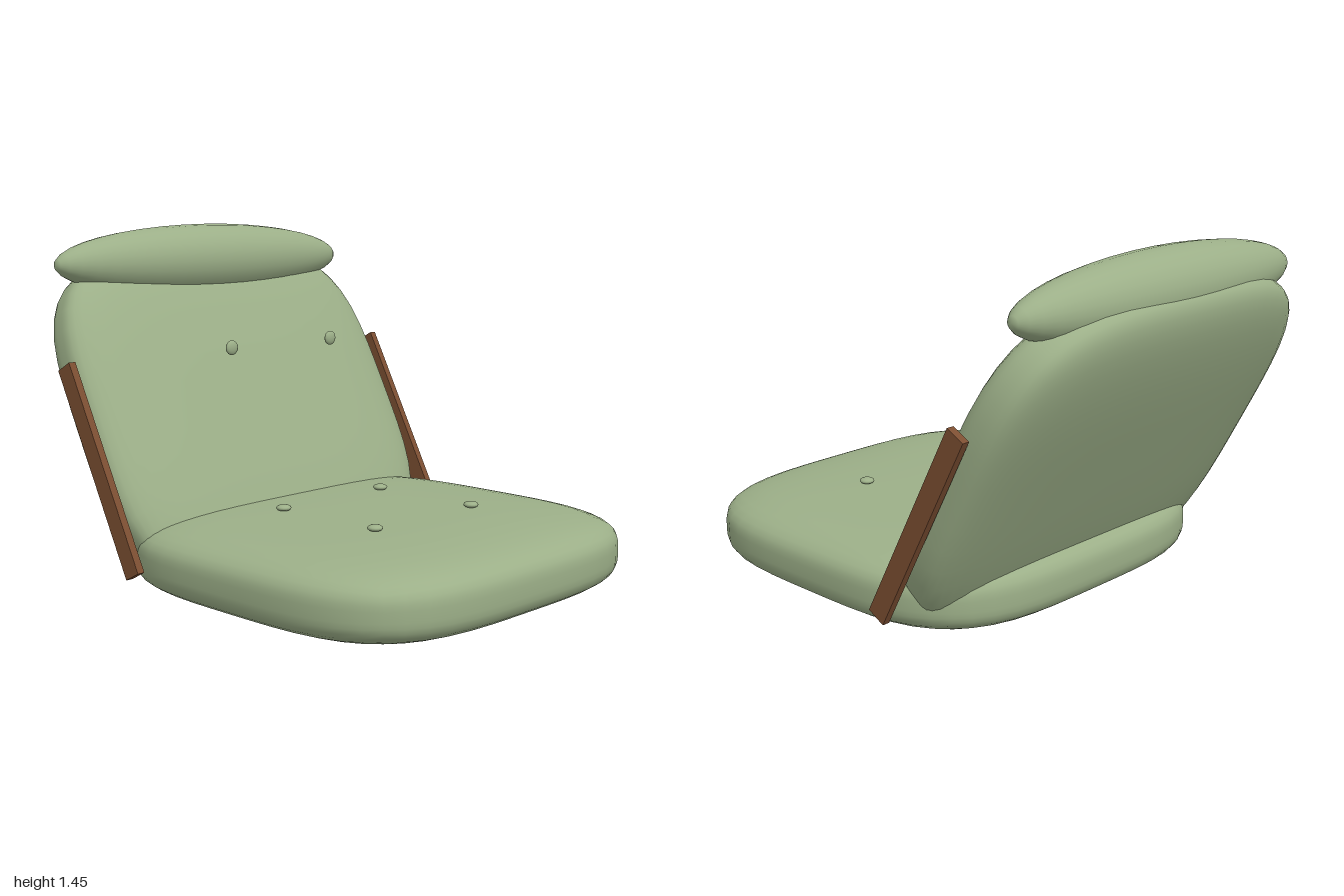
import * as THREE from 'three';
import { mergeVertices } from 'three/addons/utils/BufferGeometryUtils.js';

const TILT = -0.488; // recline of the backrest

// Soft pillow: a subdivided box projected onto a superellipsoid
function pillow(hx, hy, hz, power = 3.7) {
  let geo = new THREE.BoxGeometry(2, 2, 2, 14, 14, 14);
  geo.deleteAttribute('normal');
  geo.deleteAttribute('uv');
  geo = mergeVertices(geo);
  const p = geo.attributes.position;
  const v = new THREE.Vector3();
  for (let i = 0; i < p.count; i++) {
    v.fromBufferAttribute(p, i);
    const sum = [v.x, v.y, v.z].reduce((s, c) => s + Math.abs(c) ** power, 0);
    v.multiplyScalar(sum ** (-1 / power));
    p.setXYZ(i, v.x * hx, v.y * hy, v.z * hz);
  }
  geo.computeVertexNormals();
  return geo;
}

export function createModel() {
  const group = new THREE.Group();
  const fabric = new THREE.MeshStandardMaterial({ color: 0x9caf88 });
  fabric.name = 'sage fabric';
  const wood = new THREE.MeshStandardMaterial({ color: 0x7c4f32 });
  wood.name = 'brown wood';

  const add = (name, geo, mat, x, y, z, tilt = 0) => {
    const mesh = new THREE.Mesh(geo, mat);
    mesh.name = name;
    mesh.position.set(x, y, z);
    mesh.rotation.x = tilt;
    group.add(mesh);
    return mesh;
  };

  // Cushions
  add('seatCushion', pillow(0.83, 0.16, 0.8), fabric, 0, 0.19, 0.2);
  add('backCushion', pillow(0.83, 0.735, 0.148), fabric, 0, 0.675, -0.585, TILT);

  // Spindle-shaped head roll lying across the top
  const roll = new THREE.SphereGeometry(1, 24, 20).rotateZ(Math.PI / 2).scale(0.78, 0.153, 0.153);
  add('headRoll', roll, fabric, 0, 1.3, -0.825);

  // Buttons and side rails, mirrored left and right
  const seatButton = new THREE.SphereGeometry(1, 16, 10).scale(0.03, 0.013, 0.03);
  const backButton = new THREE.SphereGeometry(1, 16, 10).scale(0.03, 0.03, 0.014);
  const rail = new THREE.BoxGeometry(0.03, 0.865, 0.082);
  for (const side of [1, -1]) {
    const label = side > 0 ? 'left' : 'right';
    add(label + 'FrontSeatButton', seatButton, fabric, side * 0.28, 0.36, 0.445);
    add(label + 'RearSeatButton', seatButton, fabric, side * 0.28, 0.36, -0.045);
    add(label + 'BackButton', backButton, fabric, side * 0.28, 0.97, -0.342);
    add(label + 'Rail', rail, wood, side * 0.853, 0.535, -0.459, TILT);
  }
  return group;
}
